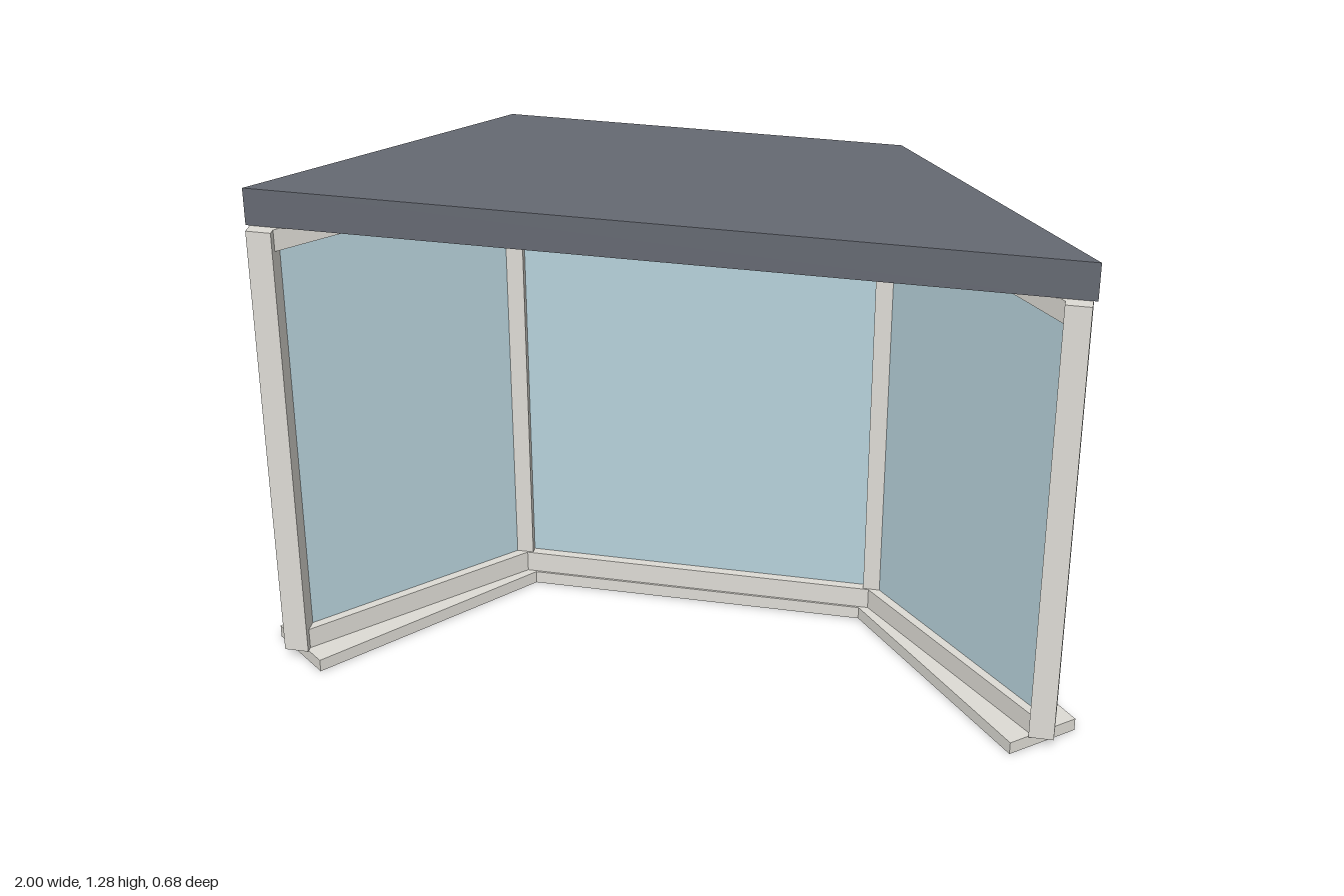
import * as THREE from 'three';

export function createModel() {
  const group = new THREE.Group();
  const mat = (name, color) => {
    const m = new THREE.MeshStandardMaterial({ color });
    m.name = name;
    return m;
  };
  const trim = mat('trim', 0xdfddd6);
  const glass = mat('glass', 0xb8d3dc);
  const roofing = mat('roofing', 0x666a73);

  const add = (name, geometry, material, x = 0, y = 0, z = 0, turn = 0) => {
    const mesh = new THREE.Mesh(geometry, material);
    mesh.name = name;
    mesh.position.set(x, y, z);
    mesh.rotation.y = turn;
    group.add(mesh);
  };

  // Horizontal slab from an [x, z] outline
  const slab = (points, height) => {
    const shape = new THREE.Shape(points.map(([x, z]) => new THREE.Vector2(x, -z)));
    return new THREE.ExtrudeGeometry(shape, { depth: height, bevelEnabled: false }).rotateX(-Math.PI / 2);
  };

  const SILL = 0.033, TOP = 1.192, RAIL = 0.055;
  const corner = [0.46, -0.185]; // mullion centre
  const end = [0.925, 0.28]; // end post centre
  const midY = (SILL + TOP) / 2, wallH = TOP - SILL;

  // Angled sill and roof slab
  add('sill', slab([
    [-1, 0.215], [-0.855, 0.34], [-0.425, -0.15], [0.425, -0.15],
    [0.855, 0.34], [1, 0.215], [0.5, -0.34], [-0.5, -0.34],
  ], SILL), trim);
  add('roof', slab([[-0.965, 0.28], [0.965, 0.28], [0.47, -0.245], [-0.47, -0.245]], 0.093),
    roofing, 0, TOP, 0);

  // One glazed panel: bottom rail, top rail and pane
  const panel = (name, length, x, z, turn) => {
    const rail = new THREE.BoxGeometry(length, RAIL, 0.06);
    add(name + 'BottomRail', rail, trim, x, SILL + RAIL / 2, z, turn);
    add(name + 'TopRail', rail, trim, x, TOP - RAIL / 2, z, turn);
    add(name + 'Pane', new THREE.BoxGeometry(length, wallH - 2 * RAIL, 0.016), glass, x, midY, z, turn);
  };
  panel('back', 2 * corner[0], 0, corner[1], 0);

  for (const [side, s] of [['left', 1], ['right', -1]]) {
    const length = Math.hypot(end[0] - corner[0], end[1] - corner[1]) - 0.02;
    panel(side, length, s * (corner[0] + end[0]) / 2, (corner[1] + end[1]) / 2, -s * Math.PI / 4);
    add(side + 'Mullion', new THREE.BoxGeometry(0.053, wallH, 0.053), trim, s * corner[0], midY, corner[1]);
    add(side + 'EndPost', new THREE.BoxGeometry(0.06, wallH, 0.06), trim, s * end[0], midY, end[1]);
  }
  return group;
}
